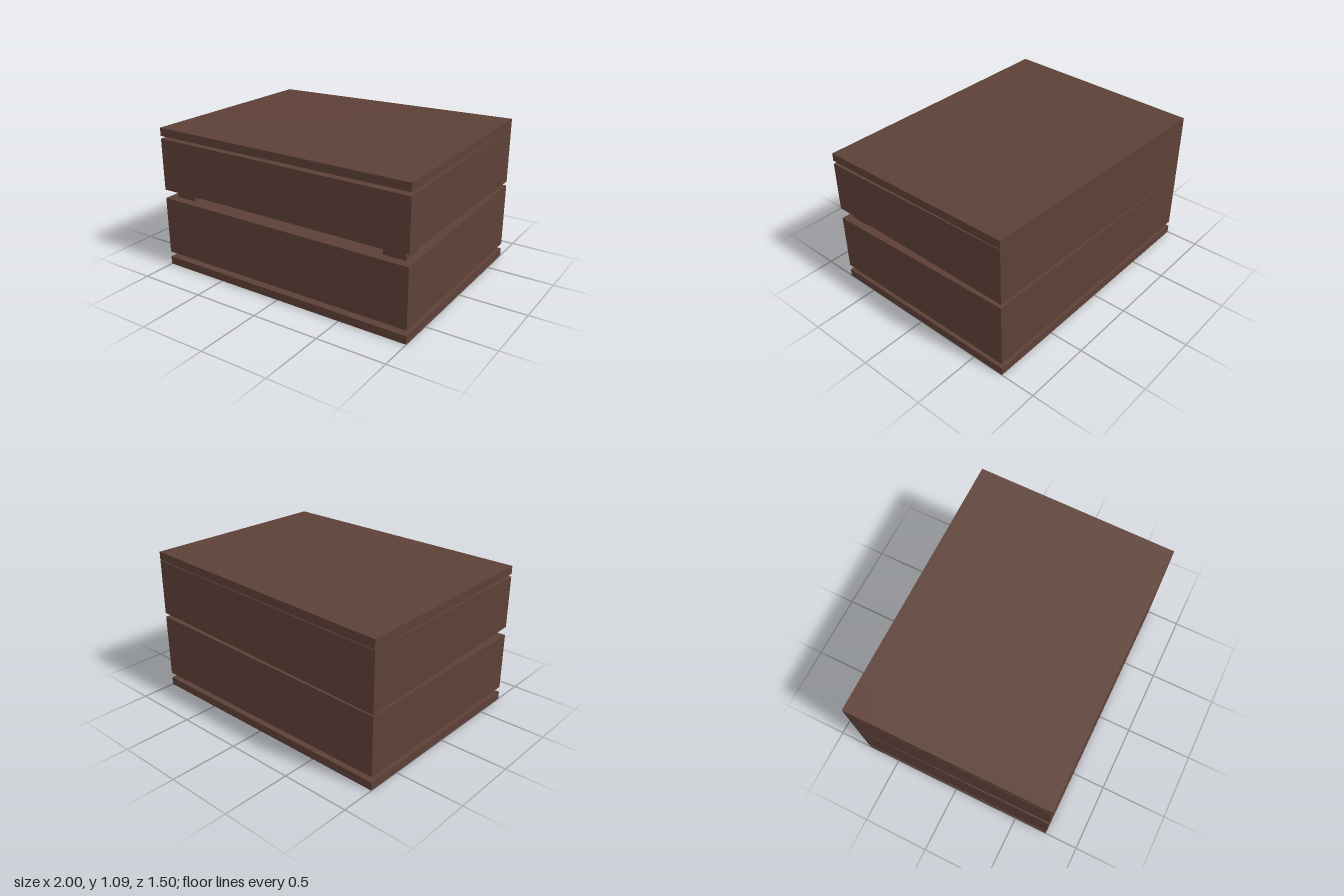
import * as THREE from 'three';

const brown = new THREE.MeshStandardMaterial({ color: 0x5d4037 });
brown.name = 'dark brown wood';

// Slightly warped block. Corner heights run front left, front right, back right, back left
// as seen from the front (x = -1, +1, +1, -1).
function warpedBlock(name, bottom, top) {
  const geometry = new THREE.BoxGeometry(2, 1, 1);
  const p = geometry.attributes.position;
  for (let i = 0; i < p.count; i++) {
    const right = p.getX(i) > 0;
    const front = p.getZ(i) > 0;
    const corner = front ? (right ? 1 : 0) : (right ? 2 : 3);
    p.setY(i, (p.getY(i) > 0 ? top : bottom)[corner]);
    p.setZ(i, front ? 0.752 : right ? -0.744 : -0.752);
  }
  geometry.computeVertexNormals();
  const mesh = new THREE.Mesh(geometry, brown);
  mesh.name = name;
  return mesh;
}

function box(name, x0, x1, y0, y1, z0, z1) {
  const mesh = new THREE.Mesh(new THREE.BoxGeometry(x1 - x0, y1 - y0, z1 - z0), brown);
  mesh.position.set((x0 + x1) / 2, (y0 + y1) / 2, (z0 + z1) / 2);
  mesh.name = name;
  return mesh;
}

// Recessed core with four corner posts, showing in the gap between two blocks
function spacer(name, y0, y1) {
  const group = new THREE.Group();
  group.name = name;
  group.add(box('core', -0.88, 0.88, y0, y1, -0.63, 0.63));
  for (const [x0, x1] of [[-0.94, -0.775], [0.785, 0.945]]) {
    for (const [z0, z1] of [[-0.69, -0.52], [0.53, 0.69]]) {
      group.add(box('cornerPost', x0, x1, y0, y1, z0, z1));
    }
  }
  return group;
}

export function createModel() {
  const model = new THREE.Group();
  model.name = 'stackedCrate';
  const level = (y) => [y, y, y, y];
  model.add(
    warpedBlock('base', level(0), level(0.06)),
    spacer('lowerSpacer', 0.05, 0.11),
    warpedBlock('lowerBox', level(0.1), [0.53, 0.53, 0.575, 0.53]),
    spacer('upperSpacer', 0.5, 0.64),
    warpedBlock('upperBox', [0.595, 0.615, 0.605, 0.54], [0.98, 0.98, 1.02, 0.965]),
    warpedBlock('lid', [1.0, 1.005, 1.025, 0.97], [1.06, 1.062, 1.085, 1.035]),
  );
  return model;
}
